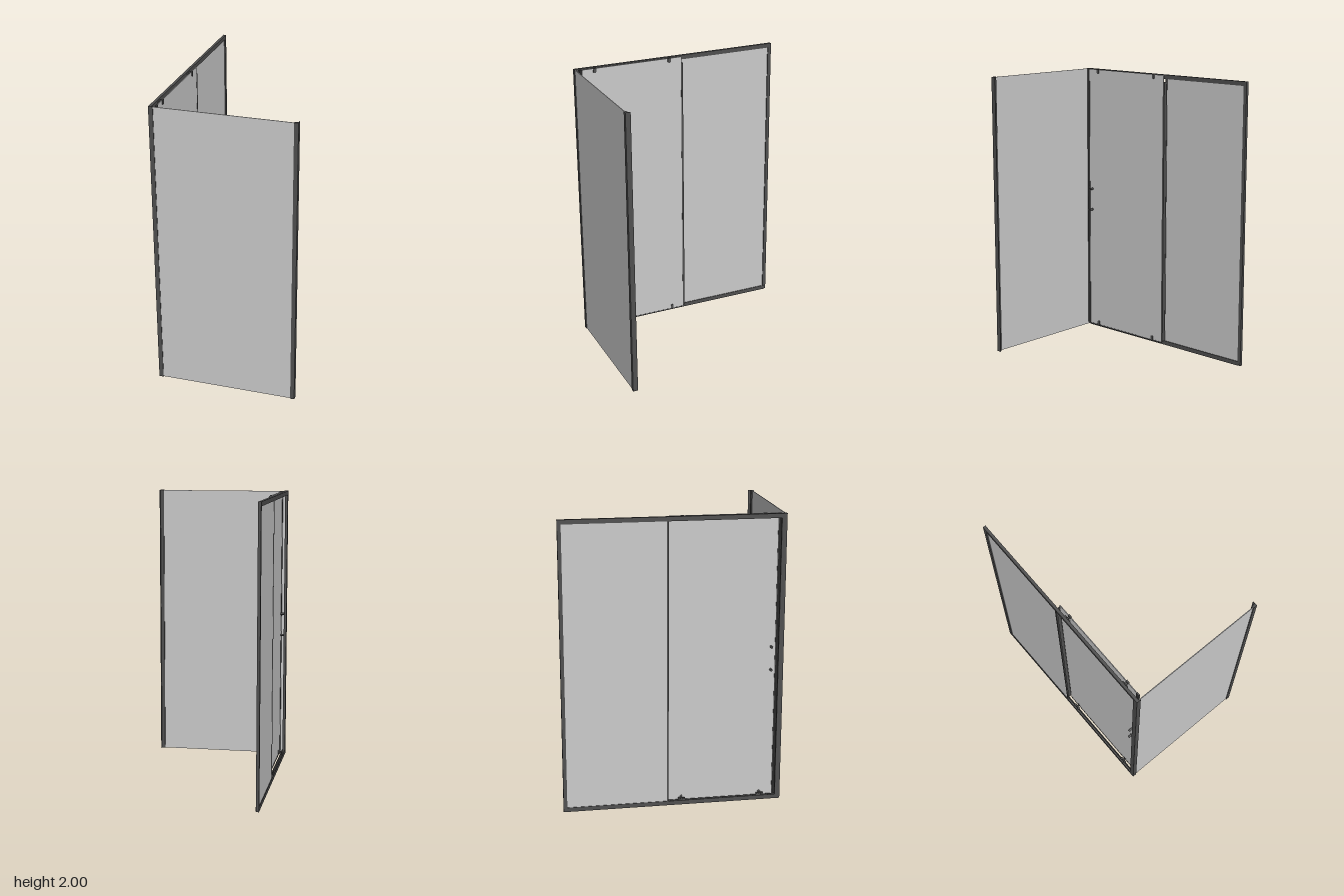
import * as THREE from 'three';

const glassMat = new THREE.MeshStandardMaterial({ color: 0xcccccc });
const metalMat = new THREE.MeshStandardMaterial({ color: 0x505050 });

// Box given by its limits on each axis
function block(parent, name, [x0, x1], [y0, y1], [z0, z1], mat = metalMat) {
  const mesh = new THREE.Mesh(new THREE.BoxGeometry(x1 - x0, y1 - y0, z1 - z0), mat);
  mesh.position.set((x0 + x1) / 2, (y0 + y1) / 2, (z0 + z1) / 2);
  mesh.name = name;
  parent.add(mesh);
  return mesh;
}

// Cylinder lying along x between two x limits
function pin(parent, name, x0, x1, y, z, r) {
  const geo = new THREE.CylinderGeometry(r, r, x1 - x0, 20);
  geo.rotateZ(Math.PI / 2);
  const mesh = new THREE.Mesh(geo, metalMat);
  mesh.position.set((x0 + x1) / 2, y, z);
  mesh.name = name;
  parent.add(mesh);
}

// Extruded cross-section; points are [x, z] and the bar stands along y
function post(parent, name, points, y0 = 0, y1 = 2) {
  const shape = new THREE.Shape(points.map(([x, z]) => new THREE.Vector2(x, -z)));
  const geo = new THREE.ExtrudeGeometry(shape, { depth: y1 - y0, bevelEnabled: false });
  geo.rotateX(-Math.PI / 2);
  const mesh = new THREE.Mesh(geo, metalMat);
  mesh.position.y = y0;
  mesh.name = name;
  parent.add(mesh);
}

// Channel section along z; dir is the side (up or down) its slot opens to
function rail(parent, name, yBack, dir, inner) {
  const pts = [[-0.485, 0], [inner, 0], [inner, 0.03], [inner - 0.005, 0.03],
    [inner - 0.005, 0.006], [-0.481, 0.006], [-0.481, 0.03], [-0.485, 0.03]];
  const shape = new THREE.Shape(pts.map(([x, y]) => new THREE.Vector2(x, yBack + dir * y)));
  const geo = new THREE.ExtrudeGeometry(shape, { depth: 1.46, bevelEnabled: false });
  const mesh = new THREE.Mesh(geo, metalMat);
  mesh.position.z = -0.735;
  mesh.name = name;
  parent.add(mesh);
}

// Door roller: rounded cap inside, axle and a pair of wheels in the rail
function roller(parent, z, yBase, dir) {
  const g = new THREE.Group();
  g.name = 'roller';
  const w = 0.011, h = 0.023;
  const s = new THREE.Shape();
  s.moveTo(-w, 0);
  s.lineTo(w, 0);
  s.lineTo(w, h);
  s.absarc(0, h, w, 0, Math.PI, false);
  s.closePath();
  const geo = new THREE.ExtrudeGeometry(s, { depth: 0.012, bevelEnabled: false, curveSegments: 12 });
  geo.rotateY(Math.PI / 2);
  if (dir < 0) geo.rotateX(Math.PI);
  const cap = new THREE.Mesh(geo, metalMat);
  cap.position.set(-0.448, yBase, z);
  cap.name = 'rollerCap';
  g.add(cap);
  const y = yBase + dir * 0.016;
  pin(g, 'rollerAxle', -0.47, -0.446, y, z, 0.006);
  block(g, 'rollerCarrier', [-0.461, -0.457], [y - 0.006, y + 0.006], [z - 0.024, z + 0.024]);
  for (const side of [-1, 1]) pin(g, 'rollerWheel', -0.474, -0.461, y, z + side * 0.017, 0.008);
  parent.add(g);
}

export function createModel() {
  const root = new THREE.Group();
  root.name = 'showerEnclosure';

  // Fixed front screen with its corner post and wall profile
  const screen = new THREE.Group();
  screen.name = 'frontScreen';
  block(screen, 'frontGlass', [-0.478, 0.47], [0.001, 1.998], [0.74, 0.745], glassMat);
  post(screen, 'cornerPost', [[-0.485, 0.75], [-0.455, 0.75], [-0.455, 0.746], [-0.466, 0.746],
    [-0.466, 0.715], [-0.485, 0.715]]);
  post(screen, 'wallProfile', [[0.455, 0.75], [0.483, 0.75], [0.483, 0.715], [0.48, 0.715],
    [0.48, 0.732], [0.455, 0.732]]);
  root.add(screen);

  // Side frame with the fixed pane
  const side = new THREE.Group();
  side.name = 'sideFrame';
  block(side, 'wallPost', [-0.485, -0.465], [0, 2], [-0.75, -0.725]);
  rail(side, 'topRail', 2, -1, -0.466);
  rail(side, 'bottomRail', 0, 1, -0.462);
  block(side, 'fixedGlass', [-0.477, -0.472], [0.01, 1.985], [-0.728, -0.032], glassMat);
  block(side, 'fixedEdgeStrip', [-0.479, -0.468], [0.03, 1.97], [-0.042, -0.03]);
  root.add(side);

  // Sliding door on the inner side of the frame
  const door = new THREE.Group();
  door.name = 'slidingDoor';
  block(door, 'doorGlass', [-0.446, -0.441], [0.022, 1.998], [-0.032, 0.702], glassMat);
  post(door, 'overlapSeal', [[-0.466, -0.042], [-0.44, -0.042], [-0.44, -0.028], [-0.443, -0.028],
    [-0.443, -0.038], [-0.466, -0.038]], 0.03, 1.95);
  post(door, 'closingSeal', [[-0.449, 0.7], [-0.438, 0.7], [-0.438, 0.708], [-0.441, 0.711],
    [-0.438, 0.714], [-0.438, 0.722], [-0.449, 0.722], [-0.449, 0.714], [-0.446, 0.711],
    [-0.449, 0.708]], 0.022, 1.998);
  block(door, 'bottomSeal', [-0.448, -0.44], [0.014, 0.023], [-0.03, 0.7]);
  for (const z of [0.062, 0.612]) {
    roller(door, z, 2, -1);
    roller(door, z, 0.02, 1);
  }
  // Handle studs through the glass
  for (const y of [0.93, 1.09]) pin(door, 'handleStud', -0.473, -0.406, y, 0.672, 0.008);
  root.add(door);

  return root;
}
